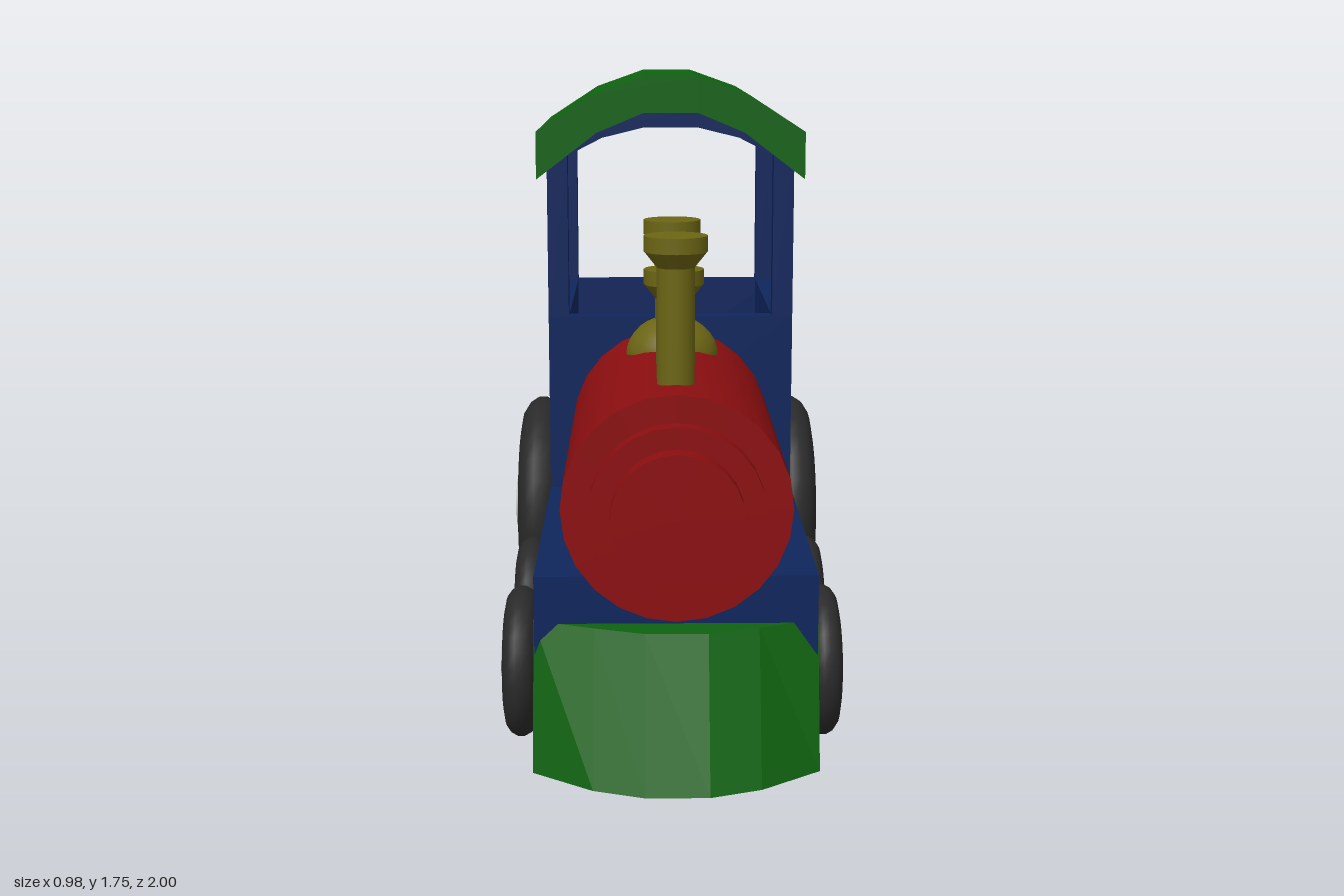
import * as THREE from 'three';

const mat = (name, color) => {
  const m = new THREE.MeshStandardMaterial({ color });
  m.name = name;
  return m;
};

export function createModel() {
  const red = mat('boiler red', 0x8c0e10);
  const green = mat('roof green', 0x0f6211);
  const blue = mat('body blue', 0x0f255c);
  const brass = mat('dark brass', 0x6c6514);
  const rubber = mat('tyre black', 0x2a2a2a);
  const silver = mat('hub silver', 0xa6a8a4);

  const model = new THREE.Group();
  model.name = 'steamEngine';
  const body = new THREE.Group();
  body.name = 'body';
  body.position.x = 0.007;
  model.add(body);

  const add = (name, geometry, material, parent = body) => {
    const mesh = new THREE.Mesh(geometry, material);
    mesh.name = name;
    parent.add(mesh);
    return mesh;
  };
  // Box given by its limits on each axis
  const box = (name, x0, x1, y0, y1, z0, z1, material) =>
    add(name, new THREE.BoxGeometry(x1 - x0, y1 - y0, z1 - z0), material)
      .position.set((x0 + x1) / 2, (y0 + y1) / 2, (z0 + z1) / 2);
  // Half outline mirrored across x = 0
  const mirrorX = (pts) => [
    ...pts.map(([x, y]) => new THREE.Vector2(-x, y)),
    ...[...pts].reverse().map(([x, y]) => new THREE.Vector2(x, y)),
  ];
  // Arched slab between two half outlines, running along z
  const arch = (name, outer, inner, z0, z1, material) => {
    const shape = new THREE.Shape([...mirrorX(outer), ...mirrorX(inner).reverse()]);
    const g = new THREE.ExtrudeGeometry(shape, { depth: z1 - z0, bevelEnabled: false });
    g.translate(0, 0, z0);
    return add(name, g, material);
  };
  const lathe = (pts, n) =>
    new THREE.LatheGeometry(pts.map(([r, y]) => new THREE.Vector2(r, y)), n);

  // Chassis
  const W = 0.362, IN = 0.302, FRONT = -0.12, BACK = -0.957;
  box('chassis', -W, W, 0.205, 0.525, BACK, 0.77, blue);

  // Cab walls and corner posts
  box('cabFrontWall', -W, W, 0.525, 1.045, FRONT - 0.06, FRONT, blue);
  box('cabBackWall', -W, W, 0.525, 1.045, BACK, BACK + 0.052, blue);
  for (const s of [-1, 1]) {
    const [a, b] = s > 0 ? [IN, W] : [-W, -IN];
    box('cabSideWall', a, b, 0.525, 1.045, BACK + 0.052, FRONT - 0.06, blue);
    box('frontPost', a, b, 1.045, 1.52, FRONT - 0.06, FRONT, blue);
    box('backPost', a, b, 1.045, 1.52, BACK, BACK + 0.052, blue);
  }

  // Arched roof with its ceiling lining
  const roofTop = [[0.392, 1.59], [0.233, 1.693], [0.078, 1.748]];
  const roofUnder = [[0.392, 1.453], [0.215, 1.588], [0.078, 1.645]];
  arch('roof', roofTop, roofUnder, -1, -0.095, green);
  arch('ceiling', [[0.302, 1.54], [0.215, 1.6], [0.078, 1.655]],
    [[0.302, 1.52], [0.2, 1.572], [0.078, 1.602]], BACK, FRONT, blue);

  // Boiler with stepped front
  for (const [name, r, z0, z1] of [
    ['boiler', 0.29, -0.13, 0.845],
    ['boilerFrontRing', 0.22, 0.845, 0.895],
    ['boilerFrontCap', 0.165, 0.895, 0.95],
  ]) {
    const g = new THREE.CylinderGeometry(r, r, z1 - z0, 24);
    g.rotateX(Math.PI / 2);
    add(name, g, red).position.set(0, 0.72, (z0 + z1) / 2);
  }

  // Chimneys: stem, flared collar and cap
  for (const [name, z, top] of [
    ['frontChimney', 0.675, 1.38],
    ['middleChimney', 0.41, 1.26],
    ['rearChimney', 0.12, 1.36],
  ]) {
    const chimney = new THREE.Group();
    chimney.name = name;
    chimney.position.z = z;
    body.add(chimney);
    const part = (n, r1, r0, y0, y1) =>
      add(n, new THREE.CylinderGeometry(r1, r0, y1 - y0, 20), brass, chimney)
        .position.y = (y0 + y1) / 2;
    part('stem', 0.048, 0.048, 0.97, top - 0.08);
    part('collar', 0.08, 0.048, top - 0.08, top - 0.04);
    part('cap', 0.08, 0.08, top - 0.04, top);
  }
  const dome = new THREE.SphereGeometry(0.13, 24, 8, 0, Math.PI * 2, 0, Math.PI / 2);
  dome.scale(1, 0.85, 1);
  add('steamDome', dome, brass).position.set(0, 0.977, 0.12);

  // Cow catcher: curved plan, its front pushed forward toward the bottom
  const plan = new THREE.Shape(
    mirrorX([[0.365, 0.73], [0.365, 0.745], [0.21, 0.805], [0.08, 0.85]]));
  const guard = new THREE.ExtrudeGeometry(plan, { depth: 0.365, bevelEnabled: false });
  guard.rotateX(Math.PI / 2);
  guard.translate(0, 0.4, 0);
  const p = guard.attributes.position;
  for (let i = 0; i < p.count; i++) {
    if (p.getZ(i) > 0.735) {
      const t = (0.4 - p.getY(i)) / 0.365;
      p.setZ(i, p.getZ(i) + t * (p.getZ(i) < 0.76 ? 0.1 : 0.15));
      p.setY(i, p.getY(i) - 0.006 * t);
    }
  }
  guard.computeVertexNormals();
  add('cowCatcher', guard, green);

  // Wheels: rounded tyre and a stepped hub, built along y and turned outward
  const wheel = (name, side, z, R, h, hub) => {
    const g = new THREE.Group();
    g.name = name;
    g.position.set(side * 0.405, R, z);
    g.rotation.z = -side * Math.PI / 2;
    model.add(g);
    add('tyre', lathe([
      [0, -h], [0.72 * R, -h], [0.86 * R, -0.88 * h], [0.95 * R, -0.6 * h],
      [R, -0.2 * h], [R, 0.2 * h], [0.95 * R, 0.6 * h], [0.86 * R, 0.88 * h],
      [0.72 * R, h], [0.58 * R, 0.92 * h], [0.48 * R, 0.75 * h], [0, 0.75 * h],
    ], 28), rubber, g);
    for (const [r, y] of hub) {
      add('hub', new THREE.CylinderGeometry(r * 0.96, r, y, 24), silver, g).position.y = y / 2;
    }
  };
  for (const s of [-1, 1]) {
    wheel('rearWheel', s, -0.59, 0.348, 0.068, [[0.172, 0.064], [0.135, 0.078], [0.08, 0.085]]);
    for (const z of [0.0375, 0.499]) {
      wheel('smallWheel', s, z, 0.202, 0.045, [[0.095, 0.043], [0.078, 0.05], [0.046, 0.055]]);
    }
  }
  return model;
}
